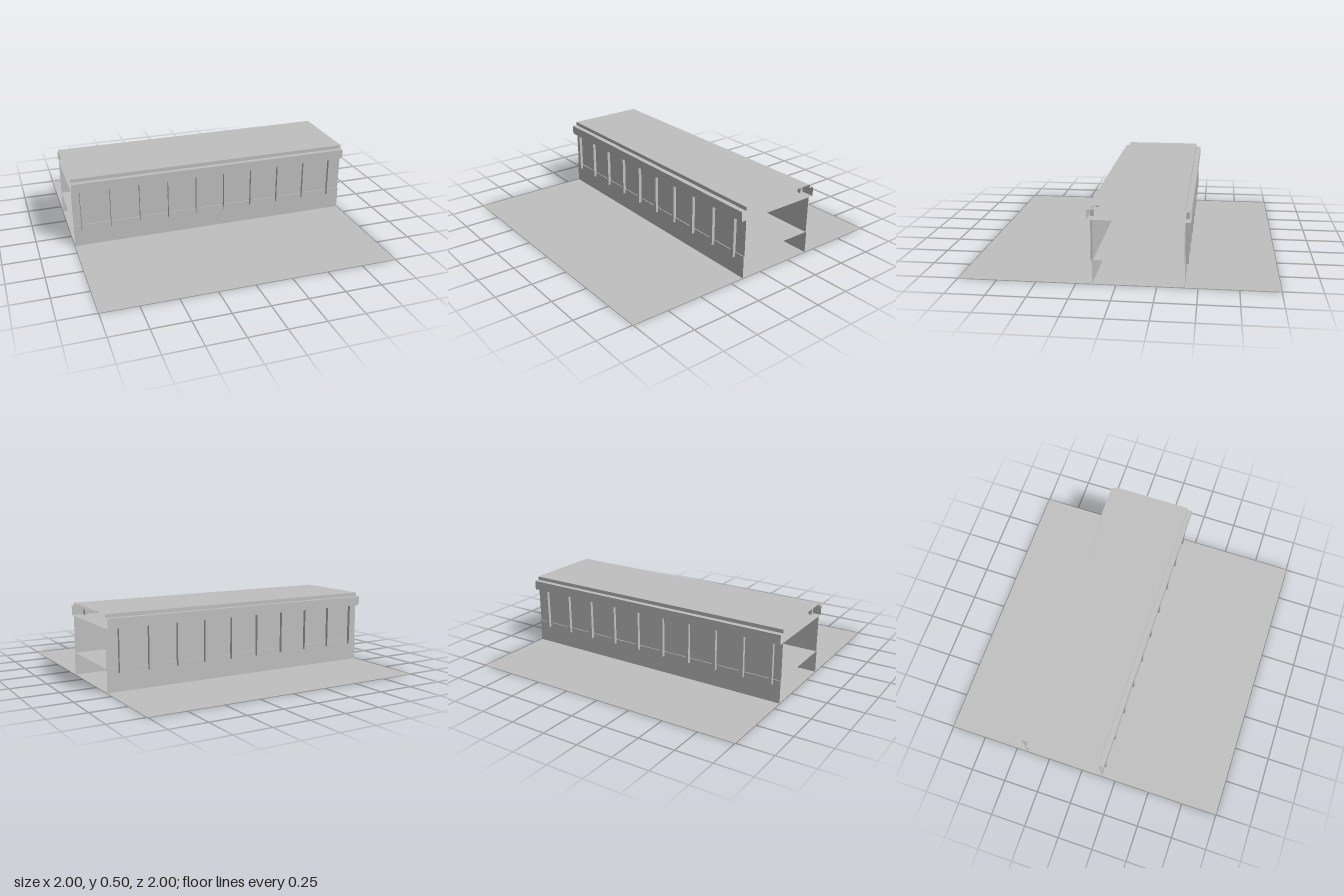
import * as THREE from 'three';

const LENGTH = 2;
const MID_Z = -0.135; // centre line of the building

export function createModel() {
  const grey = new THREE.MeshStandardMaterial({ color: 0xc0c0c0, side: THREE.DoubleSide });
  grey.name = 'plainGrey';
  const model = new THREE.Group();
  model.name = 'longPavilion';

  // Open-ended sheet running along x, following a profile of [z, y] points
  function sheet(name, points) {
    const part = new THREE.Group();
    part.name = name;
    for (let i = 0; i < points.length - 1; i++) {
      const [z0, y0] = points[i];
      const [z1, y1] = points[i + 1];
      const dz = z1 - z0, dy = y1 - y0;
      const geometry = new THREE.PlaneGeometry(LENGTH, Math.hypot(dz, dy));
      geometry.rotateX(Math.atan2(dz, dy));
      const panel = new THREE.Mesh(geometry, grey);
      panel.name = name + 'Panel';
      panel.position.set(0, (y0 + y1) / 2, (z0 + z1) / 2);
      part.add(panel);
    }
    model.add(part);
  }

  sheet('ground', [[1, 0], [-1, 0]]);

  // Roof: inset top, stepped fascia on both sides and a flat soffit
  sheet('roof', [
    [0.18, 0.41], [0.18, 0.475], [0.145, 0.475], [0.145, 0.5],
    [-0.415, 0.5], [-0.415, 0.475], [-0.45, 0.475], [-0.45, 0.41], [0.18, 0.41],
  ]);

  // Base walls with the raised floor on top
  sheet('base', [[0.149, 0], [0.149, 0.155], [-0.419, 0.155], [-0.419, 0]]);

  // Upper walls, set back slightly behind the base
  sheet('frontUpperWall', [[0.143, 0.155], [0.143, 0.41]]);
  sheet('backUpperWall', [[-0.413, 0.41], [-0.413, 0.155]]);

  // Rows of slim posts outside both long walls
  const postGeometry = new THREE.BoxGeometry(0.022, 0.33, 0.022);
  for (const side of [1, -1]) {
    for (let i = 0; i < 10; i++) {
      const post = new THREE.Mesh(postGeometry, grey);
      post.name = side > 0 ? 'frontPost' : 'backPost';
      post.position.set(-0.936 + i * 0.205, 0.288, MID_Z + side * 0.293);
      model.add(post);
    }
  }
  return model;
}
